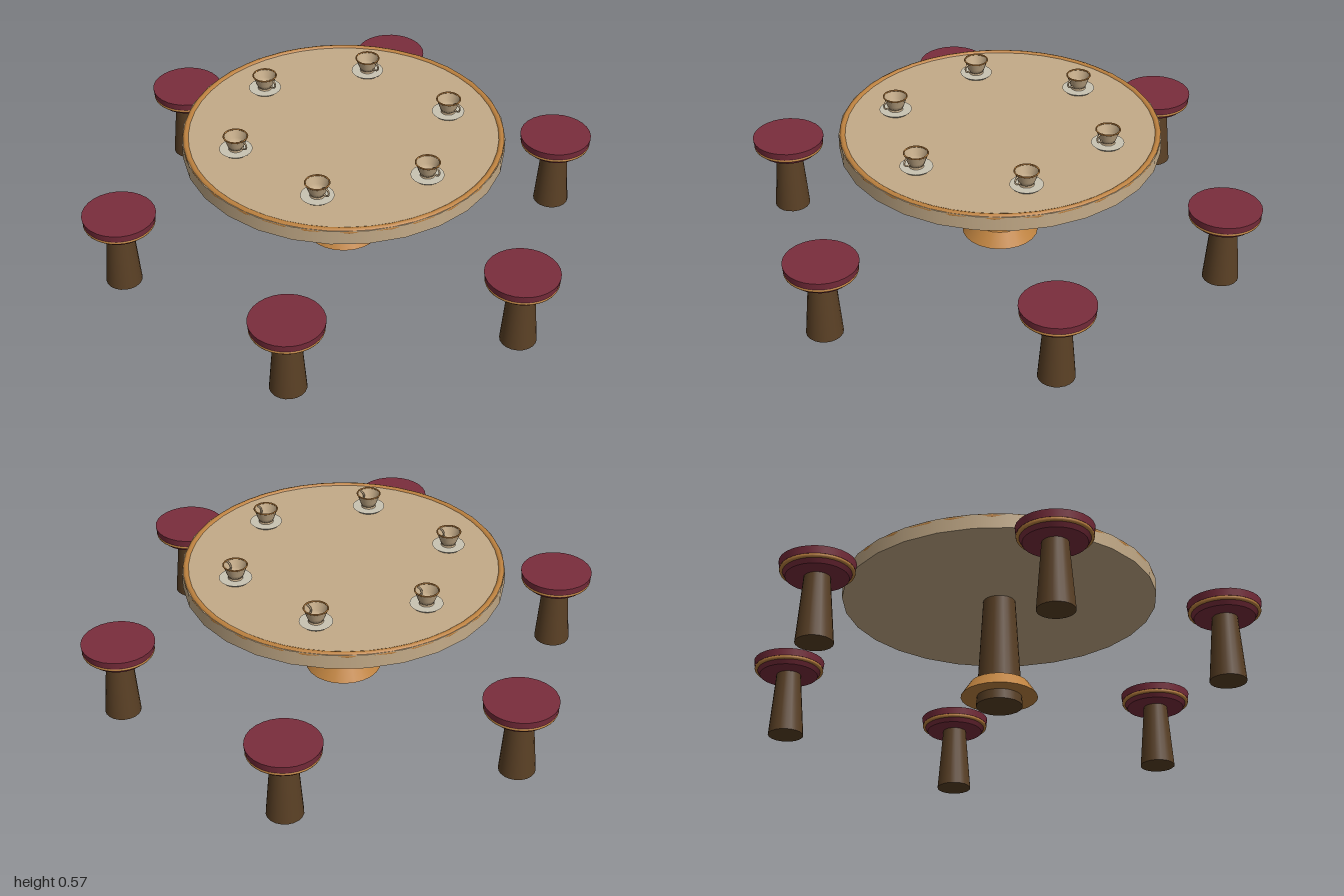
import * as THREE from 'three';

const mat = (name, color, extra = {}) => {
  const m = new THREE.MeshStandardMaterial({ color, ...extra });
  m.name = name;
  return m;
};

export function createModel() {
  const tan = mat('tan tabletop', 0xc4ab88);
  const cupTan = mat('cup tan', 0xc4ab88, { side: THREE.DoubleSide });
  const bronze = mat('bronze trim', 0xbf8340);
  const wood = mat('dark wood', 0x5a4025);
  const wine = mat('wine cushion', 0x7a2d3c);
  const china = mat('pale china', 0xc9c3b2);

  const add = (parent, name, geometry, material, x = 0, y = 0, z = 0) => {
    const mesh = new THREE.Mesh(geometry, material);
    mesh.name = name;
    mesh.position.set(x, y, z);
    parent.add(mesh);
    return mesh;
  };
  // Cylinder spanning y0..y1
  const drum = (parent, name, rTop, rBottom, y0, y1, sides, material) =>
    add(parent, name, new THREE.CylinderGeometry(rTop, rBottom, y1 - y0, sides), material, 0, (y0 + y1) / 2);
  // Horizontal ring
  const ring = (parent, name, radius, tube, y, sides, material, radial = 8) =>
    add(parent, name, new THREE.TorusGeometry(radius, tube, radial, sides).rotateX(Math.PI / 2), material, 0, y);

  const model = new THREE.Group();
  model.name = 'tableSet';

  // Round table on a flared pedestal
  const table = new THREE.Group();
  table.name = 'table';
  drum(table, 'tabletop', 0.6, 0.6, 0.442, 0.498, 28, tan);
  ring(table, 'tabletopTrim', 0.586, 0.0125, 0.492, 48, bronze);
  drum(table, 'pedestal', 0.062, 0.087, 0.01, 0.442, 24, wood);
  drum(table, 'pedestalSkirt', 0.11, 0.145, 0.047, 0.1, 24, bronze);
  model.add(table);

  // Stool: tapered leg, lower pad, trim ring, cushion
  const makeStool = () => {
    const stool = new THREE.Group();
    stool.name = 'stool';
    drum(stool, 'stoolLeg', 0.047, 0.068, 0, 0.256, 20, wood);
    drum(stool, 'lowerPad', 0.125, 0.113, 0.251, 0.272, 28, wine);
    ring(stool, 'seatTrim', 0.126, 0.008, 0.274, 32, bronze);
    drum(stool, 'seatCushion', 0.137, 0.133, 0.279, 0.307, 28, wine);
    return stool;
  };

  // Open cup with a ring handle, on a saucer
  const cupProfile = [[0, 0.516], [0.028, 0.516], [0.034, 0.532], [0.045, 0.564]]
    .map(([r, y]) => new THREE.Vector2(r, y));
  const makeCup = () => {
    const cup = new THREE.Group();
    cup.name = 'cupAndSaucer';
    drum(cup, 'saucer', 0.061, 0.05, 0.498, 0.508, 24, china);
    drum(cup, 'cupFoot', 0.026, 0.028, 0.508, 0.517, 20, cupTan);
    add(cup, 'cupBowl', new THREE.LatheGeometry(cupProfile, 20), cupTan);
    ring(cup, 'cupRim', 0.044, 0.003, 0.563, 24, bronze, 6);
    add(cup, 'cupHandle', new THREE.TorusGeometry(0.016, 0.0035, 6, 16), cupTan, 0.04, 0.541);
    return cup;
  };

  // Six places around the table
  for (let i = 0; i < 6; i++) {
    const a = (i * Math.PI) / 3;
    const stool = makeStool();
    stool.position.set(0.863 * Math.cos(a), 0, 0.863 * Math.sin(a));
    const cup = makeCup();
    cup.position.set(0.412 * Math.cos(a), 0, 0.412 * Math.sin(a));
    model.add(stool, cup);
  }
  return model;
}
